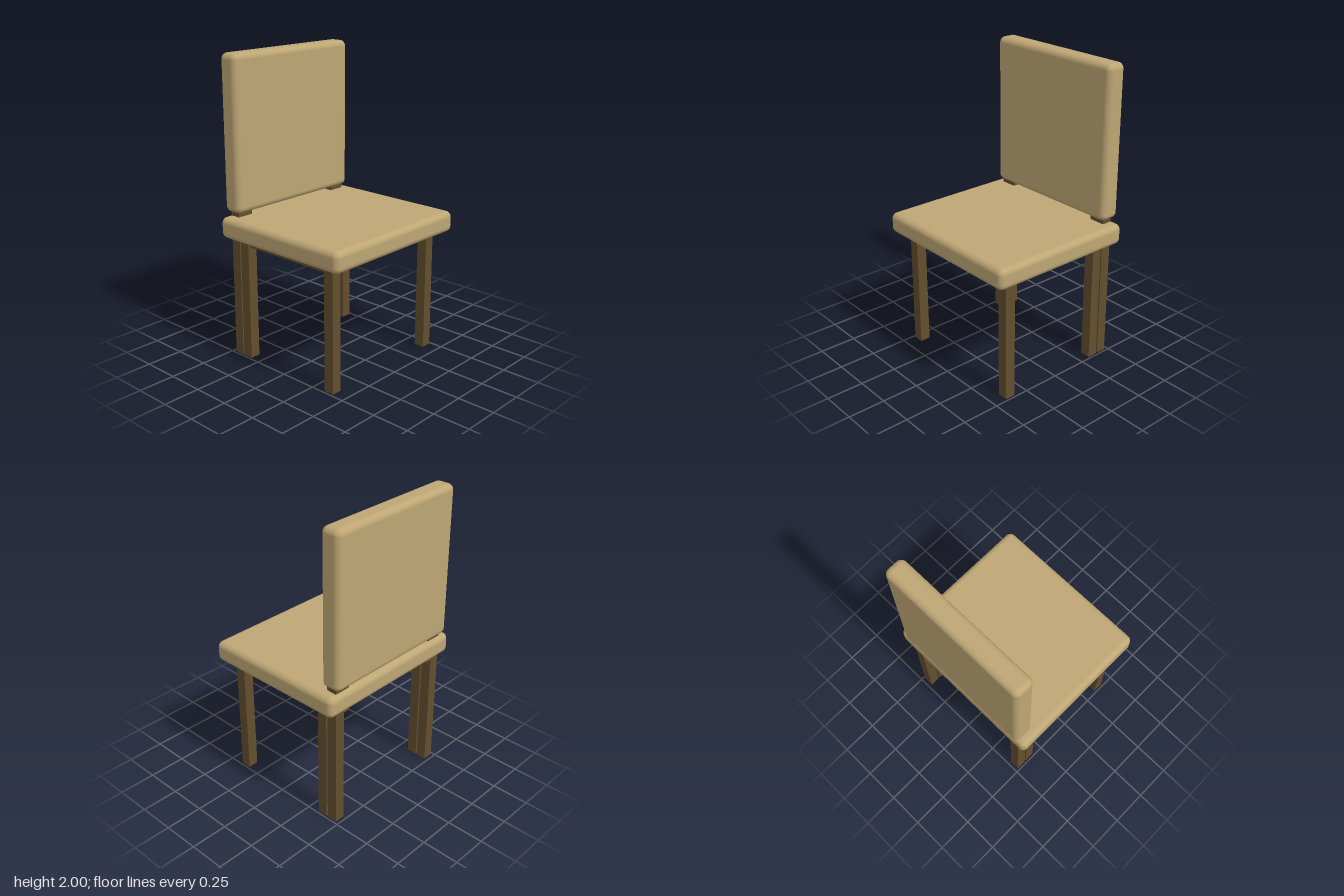
import * as THREE from 'three';
import { RoundedBoxGeometry } from 'three/addons/geometries/RoundedBoxGeometry.js';

export function createModel() {
  const chair = new THREE.Group();
  chair.name = 'chair';
  const fabric = new THREE.MeshStandardMaterial({ name: 'tanFabric', color: 0xbea674 });
  const wood = new THREE.MeshStandardMaterial({ name: 'darkWood', color: 0x624e2e });

  // Places a box by its minimum and maximum corners; radius rounds the edges
  const addBox = (name, material, [x0, y0, z0], [x1, y1, z1], radius = 0) => {
    const size = [x1 - x0, y1 - y0, z1 - z0];
    const geometry = radius
      ? new RoundedBoxGeometry(...size, 5, radius)
      : new THREE.BoxGeometry(...size);
    const mesh = new THREE.Mesh(geometry, material);
    mesh.name = name;
    mesh.position.set((x0 + x1) / 2, (y0 + y1) / 2, (z0 + z1) / 2);
    chair.add(mesh);
  };

  // Upholstered cushions
  addBox('seat', fabric, [-0.56, 0.82, -0.505], [0.56, 0.96, 0.515], 0.04);
  addBox('backrest', fabric, [-0.51, 0.985, -0.515], [0.51, 2, -0.375], 0.04);

  // Frame under the seat
  addBox('seatFrame', wood, [-0.47, 0.775, -0.38], [0.47, 0.83, 0.395]);

  for (const [side, s] of [['left', 1], ['right', -1]]) {
    const xs = (a, b) => [Math.min(s * a, s * b), Math.max(s * a, s * b)];
    const [x0, x1] = xs(0.415, 0.485);

    // Legs, with a separate post behind each rear leg
    addBox(side + 'FrontLeg', wood, [x0, 0, 0.34], [x1, 0.84, 0.41]);
    addBox(side + 'RearLeg', wood, [x0, 0, -0.395], [x1, 0.84, -0.325]);
    addBox(side + 'BackPost', wood, [x0, 0, -0.475], [x1, 0.84, -0.405]);

    // Wider bracket joining the seat to the backrest
    const [b0, b1] = xs(0.375, 0.485);
    addBox(side + 'BackBracket', wood, [b0, 0.8, -0.475], [b1, 1.02, -0.405]);
  }
  return chair;
}
